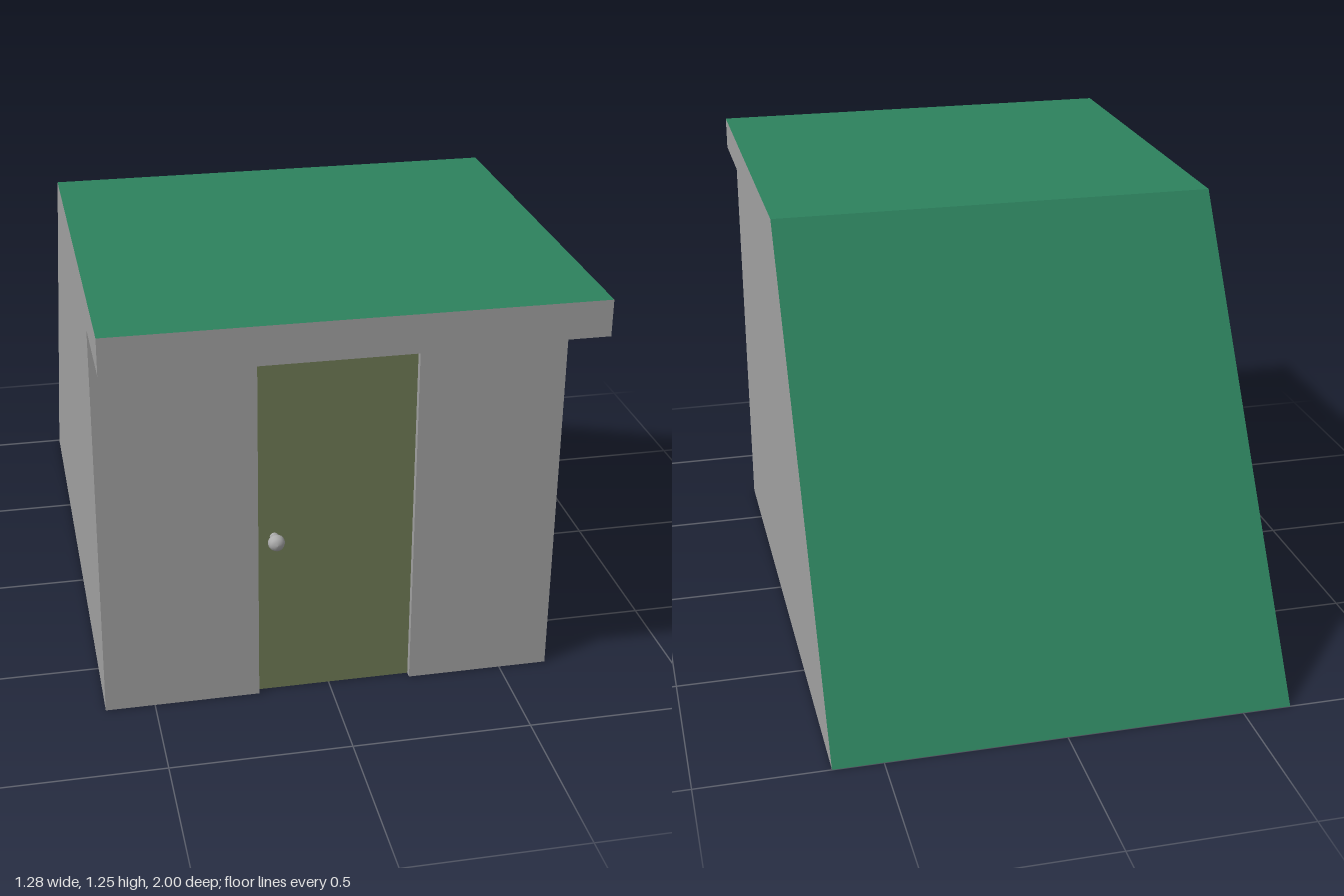
import * as THREE from 'three';

const W = 0.638;                                  // half width of the building
const DOOR = { left: 0.232, right: -0.204, top: 1.012 };
const FRONT = 0.71;                               // z of the front wall
const EAVE = 1.15;                                // underside of the overhang

const material = (name, color) => {
  const m = new THREE.MeshStandardMaterial({ color, side: THREE.DoubleSide });
  m.name = name;
  return m;
};

export function createModel() {
  const group = new THREE.Group();
  const wall = material('wall grey', 0xa2a2a2);
  const roof = material('roof green', 0x2d825e);
  const olive = material('door olive', 0x707b56);
  const metal = material('knob grey', 0xacacac);

  const add = (name, geometry, mat) => {
    const mesh = new THREE.Mesh(geometry, mat);
    mesh.name = name;
    group.add(mesh);
    return mesh;
  };

  // Side outline as (z, y), from the foot of the front over the roof to the back
  const outline = [[FRONT, 0], [FRONT, EAVE], [1, EAVE], [1, 1.248], [-0.185, 1.248], [-1, 0]];

  // Flat panel across x between two outline points
  const panel = ([z0, y0], [z1, y1]) => {
    const g = new THREE.BufferGeometry();
    g.setAttribute('position', new THREE.Float32BufferAttribute(
      [-W, y0, z0, W, y0, z0, W, y1, z1, -W, y1, z1], 3));
    g.setIndex([0, 1, 2, 0, 2, 3]);
    g.computeVertexNormals();
    return g;
  };
  const panels = [['soffit', wall], ['fascia', wall], ['flatRoof', roof], ['slopedRoof', roof]];
  panels.forEach(([name, mat], i) => add(name, panel(outline[i + 1], outline[i + 2]), mat));

  // Side walls
  for (const s of [1, -1]) {
    const shape = new THREE.Shape(outline.map(([z, y]) => new THREE.Vector2(-s * z, y)));
    add(s > 0 ? 'leftWall' : 'rightWall',
      new THREE.ShapeGeometry(shape).rotateY(s * Math.PI / 2), wall).position.x = s * W;
  }

  // Front wall with the doorway notched out
  const front = new THREE.Shape([
    [-W, 0], [DOOR.right, 0], [DOOR.right, DOOR.top], [DOOR.left, DOOR.top],
    [DOOR.left, 0], [W, 0], [W, EAVE], [-W, EAVE],
  ].map(([x, y]) => new THREE.Vector2(x, y)));
  add('frontWall', new THREE.ShapeGeometry(front).translate(0, 0, FRONT), wall);

  // Doorway lining running back into the hollow interior
  const depth = 0.19, width = DOOR.left - DOOR.right, mid = (DOOR.left + DOOR.right) / 2;
  for (const [name, x, turn] of [['leftJamb', DOOR.left, -1], ['rightJamb', DOOR.right, 1]]) {
    add(name, new THREE.PlaneGeometry(depth, DOOR.top).rotateY(turn * Math.PI / 2), wall)
      .position.set(x, DOOR.top / 2, FRONT - depth / 2);
  }
  add('doorHeader', new THREE.PlaneGeometry(width, depth).rotateX(Math.PI / 2), wall)
    .position.set(mid, DOOR.top, FRONT - depth / 2);

  // Door: a shallow tray, open at the back
  const tray = new THREE.BoxGeometry(width, DOOR.top - 0.001, 0.06);
  tray.setIndex(Array.from(tray.index.array).slice(0, 30));
  tray.clearGroups();
  add('door', tray, olive).position.set(mid + 0.001, (DOOR.top - 0.001) / 2, 0.66);

  // Door knob with a short neck, turned around z
  const profile = [[0.012, -0.005], [0.012, 0.018], [0.019, 0.022], [0.023, 0.031],
    [0.023, 0.038], [0.019, 0.048], [0.011, 0.054], [0, 0.056]]
    .map(([r, h]) => new THREE.Vector2(r, h));
  add('doorKnob', new THREE.LatheGeometry(profile, 20).rotateX(Math.PI / 2), metal)
    .position.set(-0.157, 0.492, 0.69);

  return group;
}
